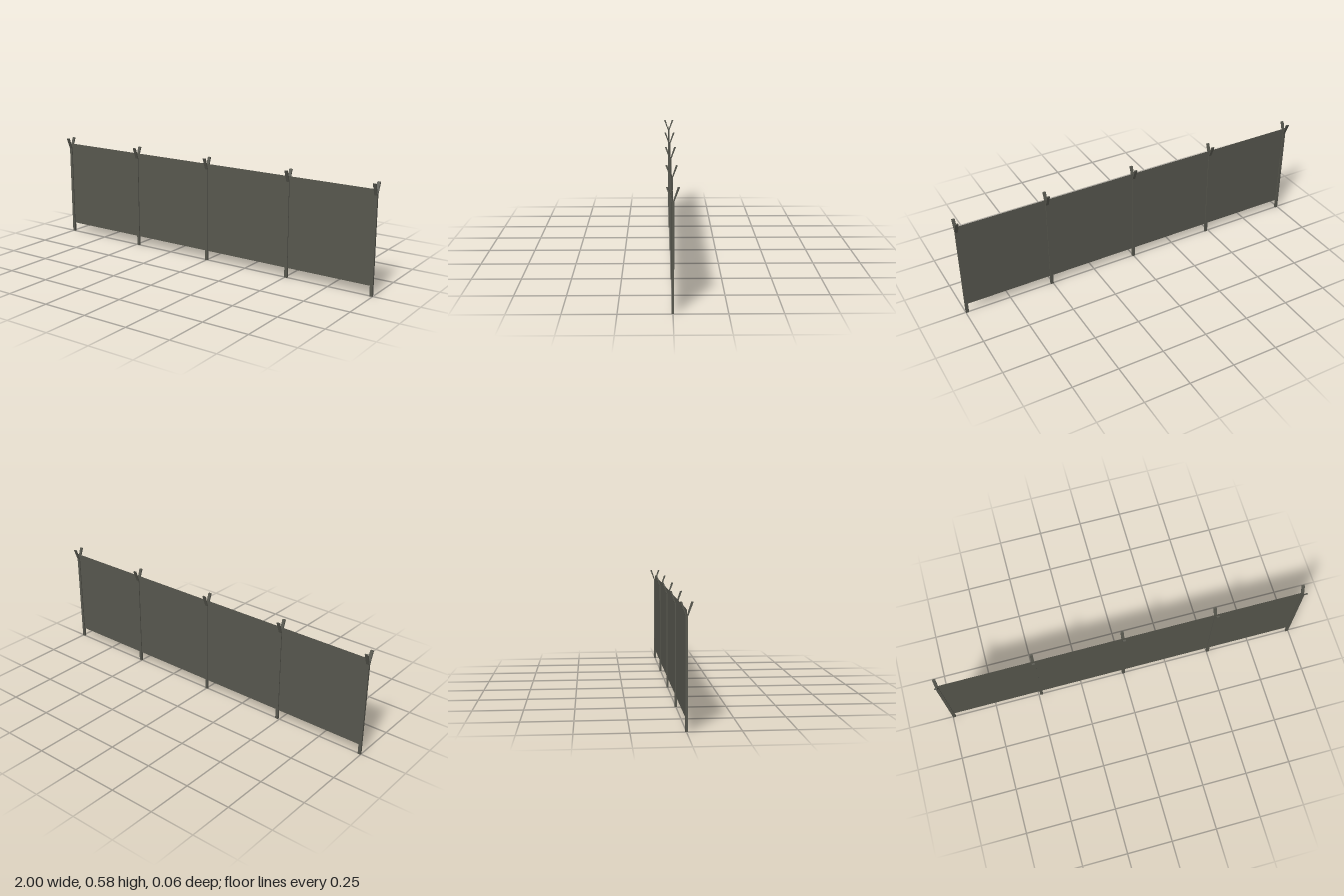
import * as THREE from 'three';

export function createModel() {
  const model = new THREE.Group();
  const steel = new THREE.MeshStandardMaterial({ color: 0x57574e });
  steel.name = 'darkGreySteel';
  steel.side = THREE.DoubleSide;

  // Post: flat bar, cut as a side profile (z, y) and extruded along x
  const width = 0.016, half = 0.0055;
  const bar = (points) => {
    const geometry = new THREE.ExtrudeGeometry(
      new THREE.Shape(points.map(([z, y]) => new THREE.Vector2(z, y))),
      { depth: width, bevelEnabled: false });
    geometry.translate(0, 0, -width / 2);
    geometry.rotateY(-Math.PI / 2);
    return geometry;
  };
  const postGeometry = bar([[-half, 0], [half, 0], [half, 0.515], [-half, 0.515]]);
  const armGeometries = [1, -1].map((s) =>
    bar([[0, 0.515], [s * half, 0.515], [s * 0.0296, 0.578], [s * 0.0207, 0.578]]));

  // Five posts, each with a forked top
  for (const x of [-0.992, -0.484, 0, 0.506, 0.992]) {
    const post = new THREE.Group();
    post.name = 'post';
    const shaft = new THREE.Mesh(postGeometry, steel);
    shaft.name = 'postShaft';
    post.add(shaft);
    for (const geometry of armGeometries) {
      const arm = new THREE.Mesh(geometry, steel);
      arm.name = 'forkArm';
      post.add(arm);
    }
    post.position.x = x;
    model.add(post);
  }

  // Thin sheet running through the middle of the posts
  const panel = new THREE.Mesh(new THREE.PlaneGeometry(1.99, 0.492), steel);
  panel.name = 'fencePanel';
  panel.position.y = 0.299;
  model.add(panel);

  return model;
}
